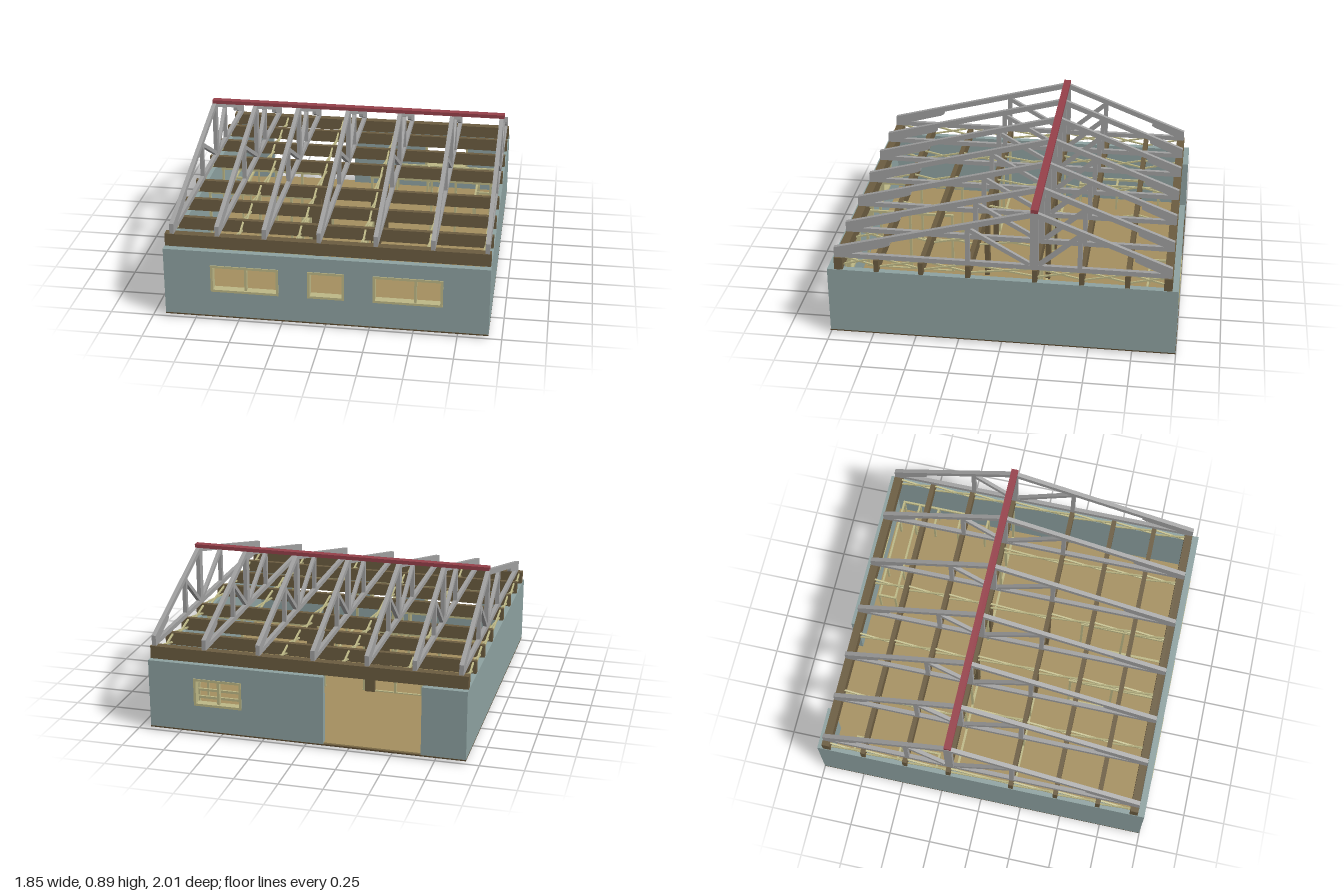
import * as THREE from 'three';

const mat = (color) => new THREE.MeshStandardMaterial({ color, flatShading: true });

export function createModel() {
  const model = new THREE.Group();
  const wall = mat(0x8ea2a1), tan = mat(0xa48f5f), brown = mat(0x6b5c40), base = mat(0x5a4a30);
  const pale = mat(0xbdb886), red = mat(0x96404a), steel = mat(0xa0a0a0);

  const group = (name) => {
    const g = new THREE.Group();
    g.name = name;
    model.add(g);
    return g;
  };
  // Box given by its limits on each axis
  const box = (parent, name, m, x0, x1, y0, y1, z0, z1) => {
    const b = new THREE.Mesh(new THREE.BoxGeometry(x1 - x0, y1 - y0, z1 - z0), m);
    b.position.set((x0 + x1) / 2, (y0 + y1) / 2, (z0 + z1) / 2);
    b.name = name;
    parent.add(b);
    return b;
  };
  // Straight member in the z-y plane at a given x
  const bar = (parent, name, m, x, [z0, y0], [z1, y1], tx, t) => {
    const dz = z1 - z0, dy = y1 - y0;
    const b = new THREE.Mesh(new THREE.BoxGeometry(tx, t, Math.hypot(dz, dy)), m);
    b.position.set(x, (y0 + y1) / 2, (z0 + z1) / 2);
    b.rotation.x = -Math.atan2(dy, dz);
    b.name = name;
    parent.add(b);
  };
  // Polygon in the z-y plane, given thickness along x
  const slab = (parent, name, m, x, pts, tx) => {
    const shape = new THREE.Shape(pts.map(([z, y]) => new THREE.Vector2(z, y)));
    const b = new THREE.Mesh(new THREE.ExtrudeGeometry(shape, { depth: tx, bevelEnabled: false }), m);
    b.rotation.y = -Math.PI / 2;
    b.position.x = x + tx / 2;
    b.name = name;
    parent.add(b);
  };

  // Base and floor
  const floor = group('floor');
  box(floor, 'floorBase', base, -0.925, 0.925, 0.019, 0.026, -1, 1);
  box(floor, 'floorDeck', tan, -0.915, 0.915, 0.026, 0.034, -0.99, 0.99);

  // Outer walls
  const Y0 = 0.026, Y1 = 0.43, W = 0.925, winY = [0.18, 0.345];
  const walls = group('outerWalls');
  const panel = (name, x0, x1, z0, windows) => {
    const rect = (P, a, b, c, d) => {
      const p = new P();
      p.moveTo(a, c); p.lineTo(b, c); p.lineTo(b, d); p.lineTo(a, d); p.closePath();
      return p;
    };
    const s = rect(THREE.Shape, x0, x1, Y0, Y1);
    windows.forEach(([a, b]) => s.holes.push(rect(THREE.Path, a, b, ...winY)));
    const p = new THREE.Mesh(new THREE.ExtrudeGeometry(s, { depth: 0.038, bevelEnabled: false }), wall);
    p.position.z = z0;
    p.name = name;
    walls.add(p);
  };
  const frontWindows = [[-0.655, -0.265, -0.455], [-0.1, 0.11], [0.27, 0.665, 0.51]];
  const backWindows = [[0.37, 0.655, 0.51]];
  panel('frontWall', -W, W, 0.96, frontWindows);
  panel('backWallLeft', -0.11, W, -0.998, backWindows);
  panel('backWallRight', -W, -0.67, -0.998, []);
  for (const s of [-1, 1]) {
    const x = s * 0.906;
    box(walls, 'sideWall', wall, x - 0.019, x + 0.019, Y0, Y1, -0.96, 0.96);
  }

  // Window frames with an optional mullion
  const frames = group('windowFrames');
  const windowFrame = ([a, b, mid], z0, z1) => {
    const t = 0.014, [c, d] = winY;
    box(frames, 'sill', pale, a, b, c, c + t, z0, z1);
    box(frames, 'head', pale, a, b, d - t, d, z0, z1);
    box(frames, 'jamb', pale, a, a + t, c + t, d - t, z0, z1);
    box(frames, 'jamb', pale, b - t, b, c + t, d - t, z0, z1);
    if (mid !== undefined) box(frames, 'mullion', pale, mid - 0.007, mid + 0.007, c + t, d - t, z0 + 0.01, z1 - 0.01);
  };
  frontWindows.forEach((w) => windowFrame(w, 0.955, 1.003));
  backWindows.forEach((w) => windowFrame(w, -1.002, -0.955));

  // Partition framing: sole plate, top plate and studs
  const partitions = group('partitions');
  const T = 0.007;
  const partition = (alongX, at, from, to, studs) => {
    const piece = (name, a, b, y0, y1) => alongX
      ? box(partitions, name, pale, a, b, y0, y1, at - T, at + T)
      : box(partitions, name, pale, at - T, at + T, y0, y1, a, b);
    piece('solePlate', from, to, 0.006, 0.04);
    piece('topPlate', from, to, 0.416, 0.43);
    studs.forEach((p) => piece('stud', p - T, p + T, 0.04, 0.416));
  };
  partition(true, -0.185, 0.1, 0.86, [0.11, 0.485, 0.635, 0.85]);
  partition(true, -0.185, -0.85, -0.13, [-0.84, -0.5, -0.335, -0.14]);
  partition(true, 0.185, -0.85, -0.18, [-0.84, -0.53, -0.335]);
  partition(false, 0.195, 0.39, 0.94, [0.4, 0.66, 0.93]);
  partition(false, -0.18, 0.39, 0.94, [0.4, 0.66, 0.93]);

  // Columns under the two middle beams
  const columns = group('columns');
  for (const x of [-0.18, 0.185]) for (const z of [-0.19, 0.185])
    box(columns, 'column', brown, x - 0.03, x + 0.03, 0.002, 0.43, z - 0.014, z + 0.014);

  // Counter frames on legs
  const counters = group('counterFrames');
  const counter = (x0, x1, z0, z1, rungs, acrossX) => {
    const y0 = 0.195, y1 = 0.209, t = 0.012;
    box(counters, 'rail', pale, x0, x1, y0, y1, z0, z0 + t);
    box(counters, 'rail', pale, x0, x1, y0, y1, z1 - t, z1);
    box(counters, 'rail', pale, x0, x0 + t, y0, y1, z0, z1);
    box(counters, 'rail', pale, x1 - t, x1, y0, y1, z0, z1);
    const ends = acrossX ? [z0, z1 - t] : [x0, x1 - t];
    const spots = acrossX ? [x0, ...rungs, x1 - t] : [z0, ...rungs, z1 - t];
    rungs.forEach((r) => acrossX
      ? box(counters, 'rung', pale, r, r + t, y0, y1, z0, z1)
      : box(counters, 'rung', pale, x0, x1, y0, y1, r, r + t));
    for (const s of spots) for (const e of ends) {
      const [x, z] = acrossX ? [s, e] : [e, s];
      box(counters, 'leg', pale, x, x + t, 0.01, y0, z, z + t);
    }
  };
  counter(-0.85, -0.74, -0.82, -0.29, [-0.545], false);
  counter(0.735, 0.87, -0.92, -0.345, [-0.815, -0.69, -0.535], false);
  counter(0.19, 0.735, -0.92, -0.805, [0.395], true);

  // Ceiling beams across the width
  const beams = group('ceilingBeams');
  const beamZ = [-0.94, -0.713, -0.457, -0.192, 0.188, 0.457, 0.713, 0.932];
  beamZ.forEach((z, i) => {
    const h = i === 0 || i === 7 ? 0.024 : 0.014;
    box(beams, 'ceilingBeam', brown, -0.922, 0.922, 0.43, 0.505, z - h, z + h);
  });

  // Crossed braces between the beams
  const braces = group('crossBraces');
  for (let i = 0; i < 7; i++) {
    const a = beamZ[i] + 0.014, b = beamZ[i + 1] - 0.014;
    const inner = i < 3 ? [-0.56, -0.185, 0.18] : i === 3 ? [-0.505, -0.175, 0.175, 0.555] : [-0.52, -0.18, 0.19, 0.565];
    for (const x of [-0.9, ...inner, 0.88]) {
      bar(braces, 'brace', pale, x - 0.003, [a, 0.445], [b, 0.495], 0.01, 0.009);
      bar(braces, 'brace', pale, x + 0.003, [a, 0.495], [b, 0.445], 0.01, 0.009);
    }
  }

  // Roof trusses with an off-centre ridge
  const R = -0.188, trussX = [-0.88, -0.62, -0.35, -0.04, 0.28, 0.6, 0.9];
  for (const x of trussX) {
    const t = group('roofTruss');
    box(t, 'bottomChord', steel, x - 0.012, x + 0.012, 0.505, 0.533, -0.955, 0.952);
    box(t, 'kingPost', steel, x - 0.012, x + 0.012, 0.533, 0.85, R - 0.024, R + 0.024);
    for (const [end, strip, postZ] of [[0.955, 0.63, 0.188], [-0.96, -0.75, -0.445]]) {
      const slope = (0.87 - 0.567) / (R - end);
      const top = (z) => 0.567 + slope * (z - end);
      const s = Math.sign(end);
      slab(t, 'rafter', steel, x, [[end, 0.535], [end, 0.567], [R, 0.87], [R, 0.837]], 0.025);
      slab(t, 'heelStrip', steel, x, [[end, 0.507], [end, 0.537], [strip, top(strip) - 0.03],
        [strip, top(strip) - 0.05], [strip + s * 0.02, top(strip) - 0.062]], 0.025);
      box(t, 'webPost', steel, x - 0.012, x + 0.012, 0.533, top(postZ) - 0.025, postZ - 0.013, postZ + 0.013);
      bar(t, 'webDiagonal', steel, x, [postZ, top(postZ) - 0.035], [R + s * 0.028, 0.535], 0.022, 0.024);
    }
  }

  // Ridge beam
  box(model, 'ridgeBeam', red, -0.89, 0.918, 0.865, 0.887, R - 0.021, R + 0.021);
  return model;
}
